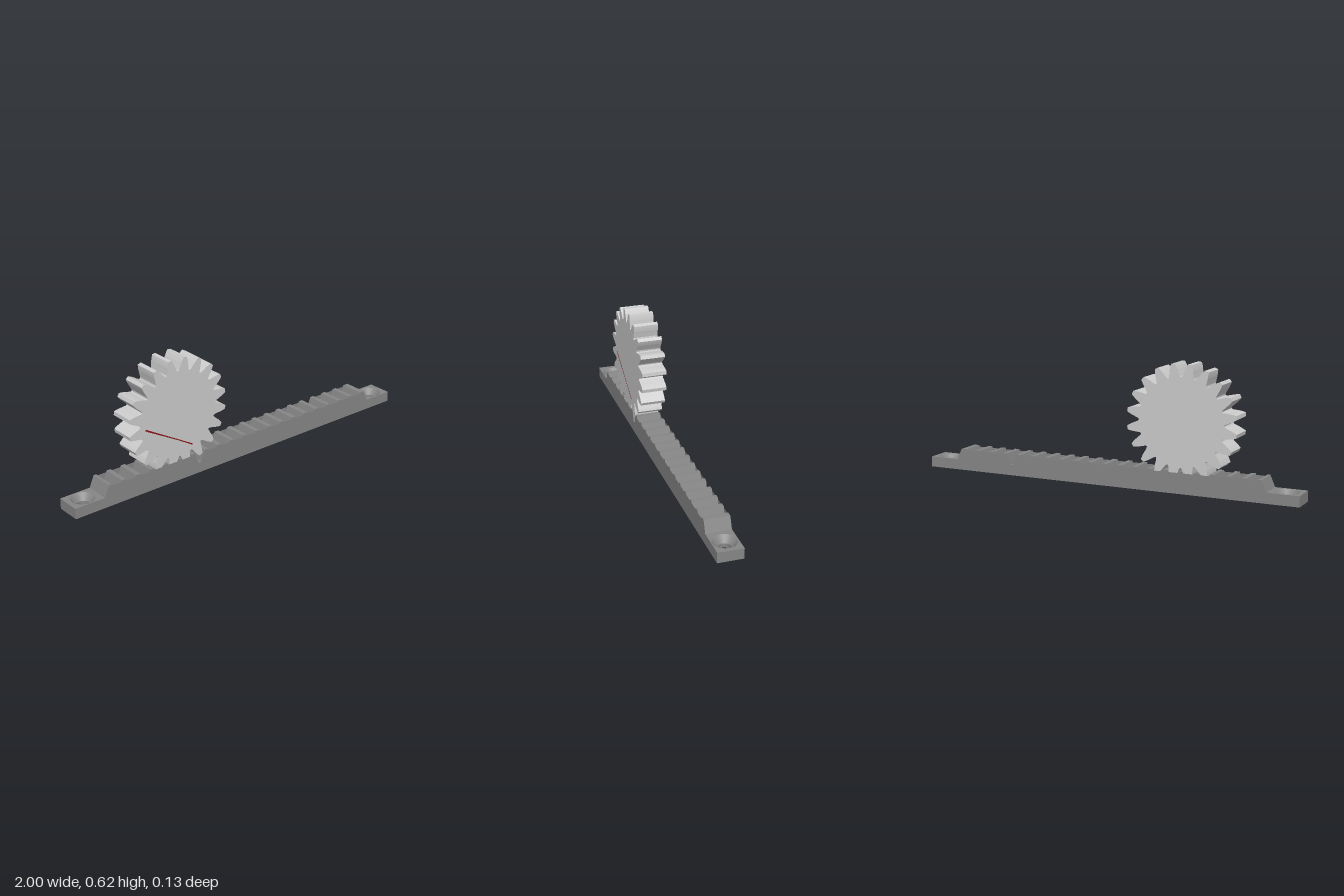
import * as THREE from 'three';

const HALF = 0.063;            // half thickness of rack and gear
const PITCH = 0.0805;
const GEAR_X = -0.41, GEAR_Y = 0.345;

const light = new THREE.MeshStandardMaterial({ color: 0xcccccc });
const dark = new THREE.MeshStandardMaterial({ color: 0x868686 });
const darkDouble = new THREE.MeshStandardMaterial({ color: 0x868686, side: THREE.DoubleSide });
const red = new THREE.MeshStandardMaterial({ color: 0x8c1515 });

function add(parent, name, geometry, material) {
  const mesh = new THREE.Mesh(geometry, material);
  mesh.name = name;
  parent.add(mesh);
  return mesh;
}

function extrude(shape, depth) {
  return new THREE.ExtrudeGeometry(shape, { depth, bevelEnabled: false, curveSegments: 24 });
}

// Side outline of the toothed bar; valley(i) gives the floor height of gap i
function barShape(valley) {
  const top = 0.11;
  const pts = [[0.84, 0], [0.84, 0.053], [0.815, top]];
  for (let i = 14; i >= -5; i--) {
    const x = GEAR_X + PITCH * (i + 0.5), y = valley(i);
    const floor = 0.009 + (y - 0.053) * 0.35;
    pts.push([x + 0.029, top], [x + floor, y], [x - floor, y], [x - 0.029, top]);
  }
  pts.push([-0.815, top], [-0.84, 0.053], [-0.84, 0]);
  return new THREE.Shape(pts.map(p => new THREE.Vector2(...p)));
}

// Gear outline: flanks curve in from root to tip, with rounded gullets
function gearShape(teeth) {
  const flank = [[0.217, 0.0335], [0.222, 0.0285], [0.24, 0.0235], [0.256, 0.0195], [0.27, 0.0145], [0.282, 0.009]];
  const pts = [];
  const put = (r, a) => pts.push(new THREE.Vector2(r * Math.cos(a), r * Math.sin(a)));
  for (let i = 0; i < teeth; i++) {
    const a = Math.PI / 2 + (i + 0.5) * Math.PI * 2 / teeth;
    flank.forEach(([r, w]) => put(r, a - w / r));
    [...flank].reverse().forEach(([r, w]) => put(r, a + w / r));
  }
  return new THREE.Shape(pts);
}

// Mounting tab with a countersunk screw hole
function mountingTab(side) {
  const tab = new THREE.Group();
  tab.name = side > 0 ? 'leftMountingTab' : 'rightMountingTab';
  const hx = side * 0.92;
  for (const [name, y, h, r] of [['tabBase', 0, 0.022, 0.03], ['tabTop', 0.022, 0.031, 0.058]]) {
    const shape = new THREE.Shape([[-1, -1], [1, -1], [1, 1], [-1, 1]]
      .map(([u, v]) => new THREE.Vector2(hx + u * 0.08, v * HALF)));
    shape.holes.push(new THREE.Path().absarc(hx, 0, r, 0, Math.PI * 2, true));
    const g = extrude(shape, h);
    g.rotateX(-Math.PI / 2);
    g.translate(0, y, 0);
    add(tab, name, g, dark);
  }
  const cone = new THREE.LatheGeometry([new THREE.Vector2(0.03, 0.022), new THREE.Vector2(0.058, 0.053)], 40);
  add(tab, 'countersink', cone, darkDouble).position.x = hx;
  return tab;
}

export function createModel() {
  const model = new THREE.Group();

  // Rack: toothed bar with tabs at both ends
  const rack = new THREE.Group();
  rack.name = 'rack';
  const bar = extrude(barShape(() => 0.053), HALF * 2 - 0.001);
  bar.translate(0, 0, -HALF + 0.0005);
  add(rack, 'toothedBar', bar, dark);

  // Side panels close the gaps nearly to the top, with one open notch each
  for (const [name, z, notch] of [['frontPanel', HALF, 1], ['backPanel', -HALF, 11]]) {
    const panel = new THREE.ShapeGeometry(barShape(i => i === notch ? 0.053 : 0.102));
    add(rack, name, panel, darkDouble).position.z = z;
  }
  rack.add(mountingTab(-1), mountingTab(1));
  model.add(rack);

  // Gear meshing with the rack
  const gear = new THREE.Group();
  gear.name = 'gear';
  gear.position.set(GEAR_X, GEAR_Y, 0);
  const wheel = extrude(gearShape(20), HALF * 2 - 0.001);
  wheel.translate(0, 0, -HALF + 0.0005);
  add(gear, 'gearWheel', wheel, light);

  // Thin tapering red line on the front of the gear
  const line = new THREE.Shape([[-0.193, -0.02], [0.076, -0.183], [0.079, -0.177], [-0.19, -0.025]]
    .map(p => new THREE.Vector2(...p)));
  line.setFromPoints([[-0.193, -0.029], [0.078, -0.18], [-0.19, -0.021]].map(p => new THREE.Vector2(...p)));
  add(gear, 'indicatorLine', new THREE.ShapeGeometry(line), red).position.z = HALF;
  model.add(gear);

  return model;
}
